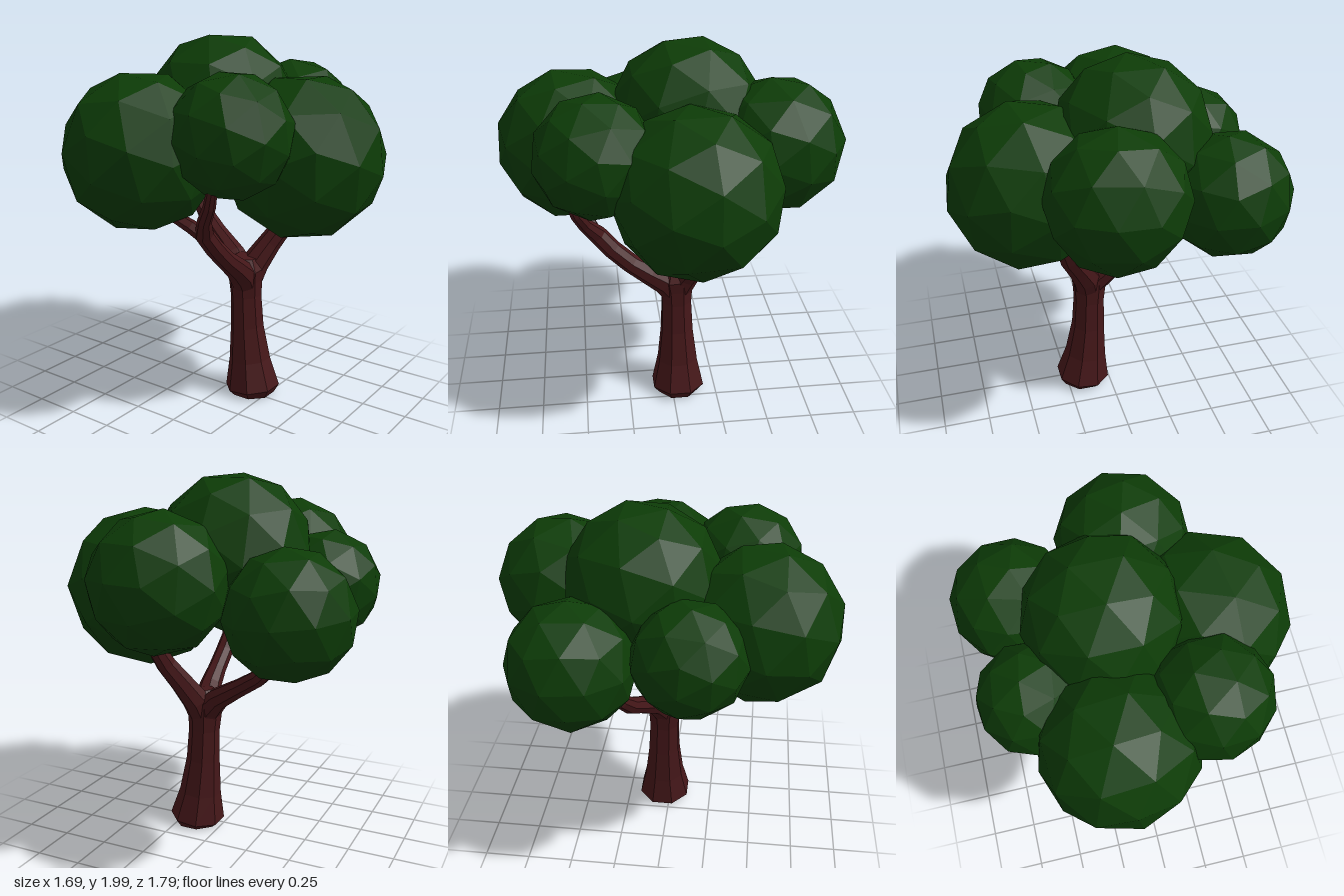
import * as THREE from 'three';

const bark = new THREE.MeshStandardMaterial({ color: 0x451719, flatShading: true });
const leaf = new THREE.MeshStandardMaterial({ color: 0x0d3c07, flatShading: true });

// Faceted limb swept through [x, y, z, radius] stations, closed at both ends
function limb(name, stations, sides) {
  const centres = stations.map(s => new THREE.Vector3(s[0], s[1], s[2]));
  const last = stations.length - 1;
  const u = new THREE.Vector3(0.38, 0, 0.92);
  const pos = [], index = [];
  stations.forEach((s, i) => {
    const t = centres[Math.min(i + 1, last)].clone().sub(centres[Math.max(i - 1, 0)]).normalize();
    u.addScaledVector(t, -u.dot(t)).normalize();
    const v = t.clone().cross(u);
    for (let j = 0; j < sides; j++) {
      const a = (j / sides) * Math.PI * 2;
      const p = centres[i].clone()
        .addScaledVector(u, Math.cos(a) * s[3])
        .addScaledVector(v, Math.sin(a) * s[3]);
      pos.push(p.x, p.y, p.z);
      if (i < last) {
        const k = (j + 1) % sides, b = i * sides, c = b + sides;
        index.push(b + j, b + k, c + k, b + j, c + k, c + j);
      }
    }
  });
  const start = pos.length / 3;
  pos.push(...centres[0].toArray(), ...centres[last].toArray());
  for (let j = 0; j < sides; j++) {
    const k = (j + 1) % sides, e = last * sides;
    index.push(start, k, j, start + 1, e + j, e + k);
  }
  const g = new THREE.BufferGeometry();
  g.setAttribute('position', new THREE.Float32BufferAttribute(pos, 3));
  g.setIndex(index);
  g.computeVertexNormals();
  const mesh = new THREE.Mesh(g, bark);
  mesh.name = name;
  return mesh;
}

export function createModel() {
  const tree = new THREE.Group();
  tree.name = 'tree';

  // Flared trunk and its limbs
  const wood = new THREE.Group();
  wood.name = 'wood';
  wood.add(
    limb('trunk', [
      [0.153, 0.003, -0.035, 0.125], [0.153, 0.04, -0.035, 0.155], [0.133, 0.2, -0.035, 0.118],
      [0.115, 0.4, -0.033, 0.094], [0.108, 0.58, -0.03, 0.087], [0.105, 0.67, -0.028, 0.095],
      [0.105, 0.745, -0.02, 0.105], [0.115, 0.81, -0.02, 0.06]], 8),
    limb('frontBranch', [
      [0.11, 0.64, -0.02, 0.072], [0.125, 0.725, 0.04, 0.077], [0.145, 0.79, 0.13, 0.062],
      [0.15, 0.86, 0.225, 0.053], [0.145, 0.95, 0.32, 0.051], [0.138, 1.04, 0.395, 0.05],
      [0.19, 1.13, 0.46, 0.037], [0.25, 1.22, 0.5, 0.032], [0.285, 1.31, 0.525, 0.027]], 8),
    limb('frontBranchTwig', [
      [0.14, 1.02, 0.39, 0.036], [0.08, 1.08, 0.43, 0.036],
      [0.0, 1.12, 0.45, 0.031], [-0.07, 1.18, 0.47, 0.025]], 6),
    limb('rightBranch', [
      [0.11, 0.62, -0.03, 0.07], [0.075, 0.71, -0.04, 0.078], [0.0, 0.785, -0.07, 0.063],
      [-0.15, 0.88, -0.12, 0.05], [-0.28, 0.965, -0.17, 0.046], [-0.37, 1.05, -0.2, 0.038],
      [-0.43, 1.14, -0.23, 0.03]], 8),
    limb('backBranch', [
      [0.11, 0.64, -0.03, 0.075], [0.135, 0.76, -0.08, 0.077], [0.19, 0.87, -0.14, 0.064],
      [0.25, 0.98, -0.2, 0.056], [0.29, 1.1, -0.26, 0.046], [0.31, 1.24, -0.31, 0.035]], 8));
  tree.add(wood);

  // Rounded clumps of foliage: name, x, y, z, radius
  const clumps = [
    ['topFoliage', -0.108, 1.603, -0.108, 0.411],
    ['frontFoliage', -0.17, 1.442, 0.5, 0.406],
    ['frontLeftFoliage', 0.302, 1.553, 0.394, 0.311],
    ['leftFoliage', 0.42, 1.388, -0.09, 0.434],
    ['backFoliage', 0.088, 1.495, -0.55, 0.356],
    ['backRightFoliage', -0.53, 1.365, -0.406, 0.326],
    ['rightFoliage', -0.52, 1.425, 0.16, 0.29],
  ];
  const crown = new THREE.Group();
  crown.name = 'crown';
  clumps.forEach(([name, x, y, z, r], i) => {
    const mesh = new THREE.Mesh(new THREE.IcosahedronGeometry(r, 1), leaf);
    mesh.name = name;
    mesh.position.set(x, y, z);
    mesh.rotation.set(0.3 + i * 0.9, i * 1.7, i * 0.6);
    crown.add(mesh);
  });
  tree.add(crown);
  return tree;
}
